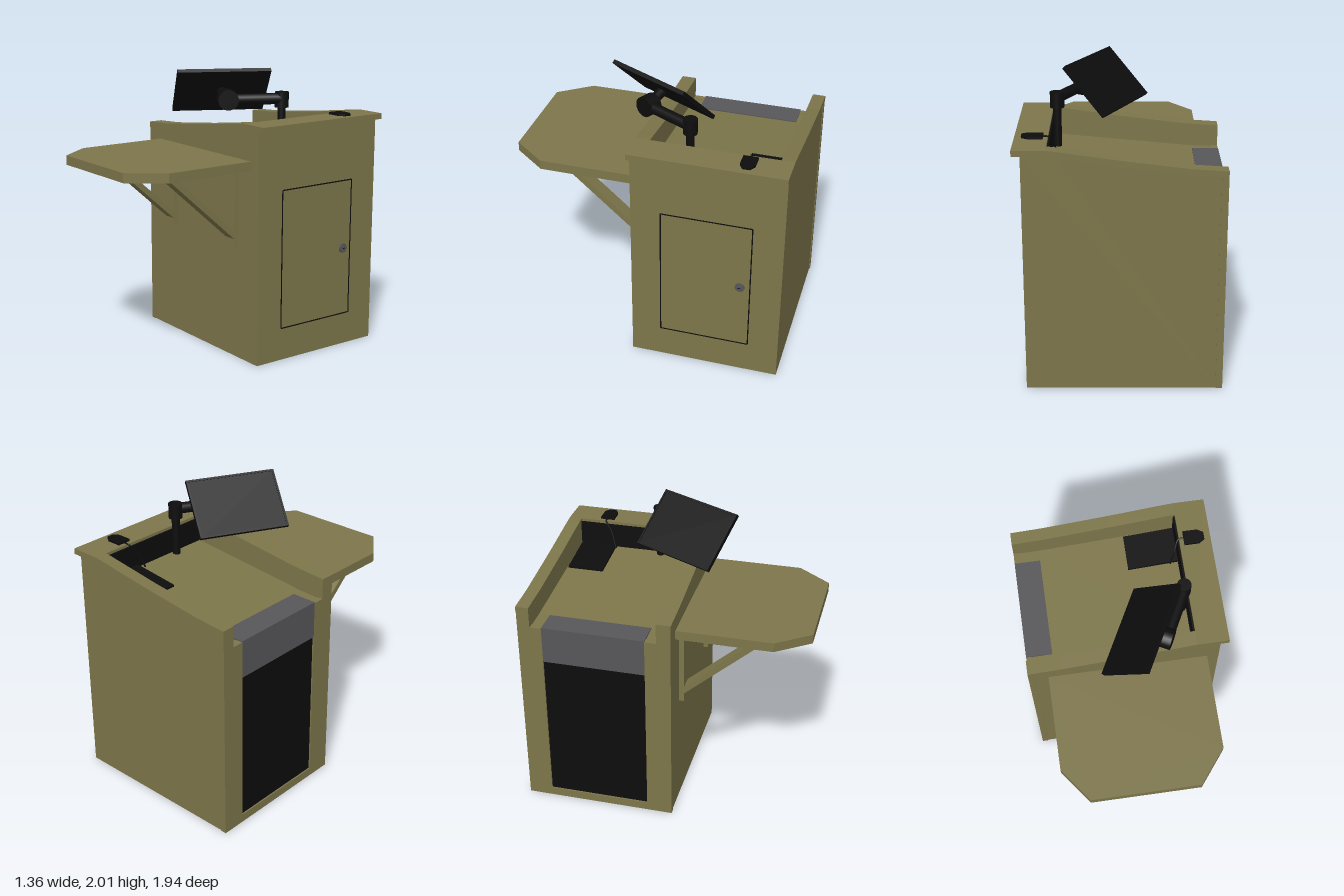
import * as THREE from 'three';

const paint = (color) => new THREE.MeshStandardMaterial({ color });
const olive = paint(0x7c754a);
const black = paint(0x0d0d0d);
const grey = paint(0x57575a);
const V = (x, y, z) => new THREE.Vector3(x, y, z);

export function createModel() {
  const model = new THREE.Group();

  const add = (name, geometry, material = olive, parent = model) => {
    const mesh = new THREE.Mesh(geometry, material);
    mesh.name = name;
    parent.add(mesh);
    return mesh;
  };
  // Box given by its two opposite corners
  const box = (name, x0, x1, y0, y1, z0, z1, material, parent) =>
    add(name, new THREE.BoxGeometry(x1 - x0, y1 - y0, z1 - z0)
      .translate((x0 + x1) / 2, (y0 + y1) / 2, (z0 + z1) / 2), material, parent);
  const prism = (points, depth) => new THREE.ExtrudeGeometry(
    new THREE.Shape(points.map(([x, y]) => new THREE.Vector2(x, y))),
    { depth, bevelEnabled: false });
  // Outline in x and y, carried from z0 to z1
  const slab = (name, points, z0, z1, material) =>
    add(name, prism(points, z1 - z0).translate(0, 0, z0), material);
  // Cylinder between two points
  const rod = (name, a, b, r, material, parent, sides = 16) => {
    const d = b.clone().sub(a);
    const mesh = add(name, new THREE.CylinderGeometry(r, r, d.length(), sides), material, parent);
    mesh.position.copy(a).addScaledVector(d, 0.5);
    mesh.quaternion.setFromUnitVectors(V(0, 1, 0), d.normalize());
    return mesh;
  };

  // Sloping top line, shared by the side panels and the worktop rim
  const top = [[-0.68, 1.53], [-0.45, 1.545], [0, 1.6], [0.4, 1.658], [0.46, 1.665]];
  const thick = 0.04;
  const under = top.map(([x, y]) => [x, y - thick]).reverse();

  // Cabinet core, with the sunken desk surface on top
  slab('cabinetCore', [[-0.64, 0], [0.62, 0], [0.62, 1.625], [0.46, 1.625], [0.46, 1.475],
    [-0.5, 1.385], [-0.64, 1.38]], -0.88, -0.01);

  // Side panels, rims and end posts at the front and back
  for (const [side, z0, z1, p0, p1, r0, r1, q0, q1] of [
    ['front', -0.01, 0.083, -0.01, 0.088, -0.01, 0.09, -0.09, -0.01],
    ['back', -0.963, -0.88, -0.968, -0.88, -0.97, -0.88, -0.88, -0.8],
  ]) {
    slab(side + 'Panel', [[-0.64, 0], [0.62, 0], [0.62, 1.625], ...under.slice(0, -1),
      [-0.64, 1.492]], z0, z1);
    slab(side + 'Rim', [...under.slice().reverse(), ...top.slice().reverse()], r0, r1);
    box(side + 'Post', -0.68, -0.635, 0, 1.492, p0, p1);
    box(side + 'PostReturn', -0.68, -0.635, 0, 1.385, q0, q1);
  }
  box('rightRim', 0.46, 0.675, 1.625, 1.665, -0.97, 0.09);
  box('plinth', -0.68, -0.64, 0, 0.06, -0.8, -0.09);

  // Open end of the cabinet: grey housing above a black panel
  box('endHousing', -0.68, -0.5, 1.13, 1.392, -0.8, -0.09, grey);
  box('endPanel', -0.67, -0.63, 0.06, 1.13, -0.8, -0.09, black);

  // Dark lining of the recess and the pad lying in it
  box('recessLining', 0.448, 0.462, 1.46, 1.645, -0.88, -0.01, black);
  slab('deskPad', [[0.1, 1.436], [0.455, 1.468], [0.455, 1.495], [0.1, 1.455]],
    -0.87, -0.615, black);

  // Door gap and knob on the right side
  const door = new THREE.Group();
  door.name = 'door';
  model.add(door);
  for (const y of [0.23, 1.21]) {
    box('doorGap', 0.612, 0.622, y - 0.004, y + 0.004, -0.75, -0.125, black, door);
  }
  for (const z of [-0.75, -0.125]) {
    box('doorGap', 0.612, 0.622, 0.23, 1.21, z - 0.004, z + 0.004, black, door);
  }
  rod('lockCollar', V(0.61, 0.72, -0.68), V(0.632, 0.72, -0.68), 0.033, grey, door, 20);
  rod('lockBarrel', V(0.63, 0.72, -0.68), V(0.638, 0.72, -0.68), 0.02, grey, door, 20);
  box('keySlot', 0.632, 0.639, 0.717, 0.723, -0.69, -0.67, black, door);

  // Folding shelf with clipped corners
  const shelf = prism([[-0.545, -0.085], [-0.545, -0.74], [-0.375, -0.97], [0.36, -0.97],
    [0.54, -0.74], [0.54, -0.085]], 0.065);
  add('shelf', shelf.rotateX(-Math.PI / 2).translate(0, 1.355, 0));

  // Shelf brackets
  for (const x of [-0.435, 0.3]) {
    box('bracketUpright', x, x + 0.105, 0.8, 1.355, 0.08, 0.117);
    const brace = prism([[-0.115, 0.915], [-0.115, 0.86], [-0.675, 1.356], [-0.615, 1.356]], 0.1);
    add('bracketBrace', brace.rotateY(Math.PI / 2).translate(x + 0.0025, 0, 0));
  }

  // Tilted screen, facing up and to the right end of the desk
  const u = V(-0.46, 0, 0.888);
  const v = V(0.628, 0.707, 0.325);
  const screen = new THREE.Group();
  screen.name = 'screen';
  model.add(screen);
  screen.applyMatrix4(new THREE.Matrix4()
    .makeBasis(u, v, u.clone().cross(v)).setPosition(0.095, 1.845, 0.005));
  box('screenPanel', -0.32, 0.32, -0.215, 0.215, -0.014, 0.01, black, screen);
  for (const s of [-1, 1]) {
    box('screenFrame', -0.32, 0.32, s * 0.208 - 0.007, s * 0.208 + 0.007, 0.01, 0.014, black, screen);
    box('screenFrame', s * 0.313 - 0.007, s * 0.313 + 0.007, -0.201, 0.201, 0.01, 0.014, black, screen);
  }

  // Arm holding the screen
  const arm = new THREE.Group();
  arm.name = 'screenArm';
  model.add(arm);
  rod('armPost', V(0.42, 1.46, -0.27), V(0.42, 1.77, -0.27), 0.028, black, arm);
  rod('armElbow', V(0.42, 1.74, -0.27), V(0.42, 1.845, -0.27), 0.048, black, arm);
  rod('armBeam', V(0.43, 1.8, -0.27), V(0.26, 1.8, 0.06), 0.038, black, arm);
  rod('pivotDisc', V(0.29, 1.8, 0.085), V(0.205, 1.8, 0.04), 0.07, black, arm, 20);
  rod('screenMount', V(0.24, 1.8, 0.06), V(0.11, 1.84, 0.01), 0.035, black, arm);

  // Small device on the rim, with its cable
  const device = prism([[0.49, 0.64], [0.59, 0.64], [0.63, 0.665], [0.63, 0.715],
    [0.59, 0.74], [0.49, 0.74]], 0.016);
  add('rimDevice', device.rotateX(-Math.PI / 2).translate(0, 1.664, 0), black);
  const cable = new THREE.CatmullRomCurve3([V(0.5, 1.67, -0.69), V(0.455, 1.668, -0.69),
    V(0.425, 1.6, -0.64), V(0.39, 1.49, -0.6)]);
  add('deviceCable', new THREE.TubeGeometry(cable, 16, 0.006, 6), black);

  return model;
}
